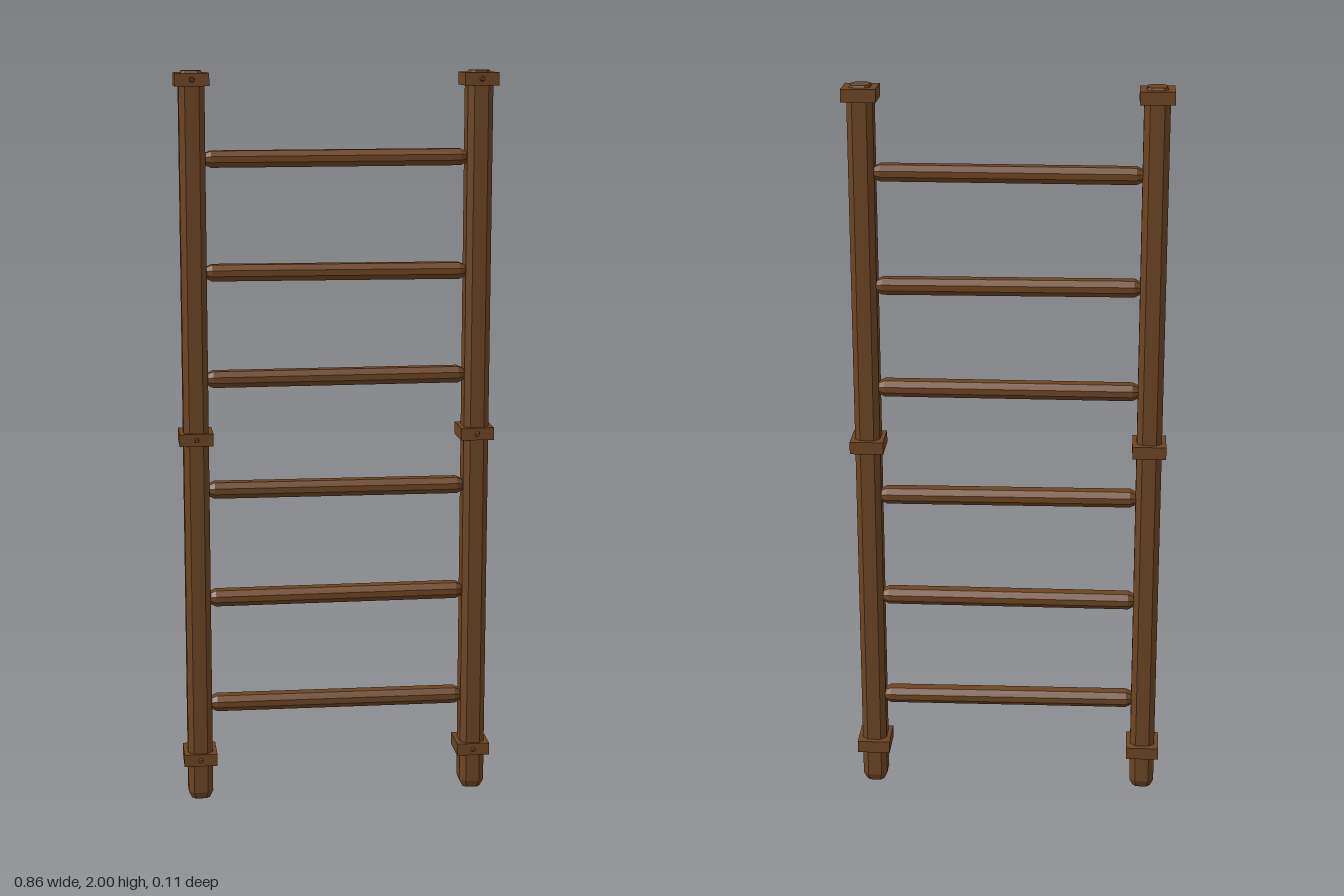
import * as THREE from 'three';

const wood = new THREE.MeshStandardMaterial({ color: 0x6b4423 });
wood.name = 'brown wood';

// Beam along z, centred, with chamfered long edges and tapered ends
function beamGeometry(w, h, length, chamfer, taper, endInset) {
  const x = w / 2 - endInset, y = h / 2 - endInset, c = chamfer;
  const outline = [
    [x - c, -y], [x, c - y], [x, y - c], [x - c, y],
    [c - x, y], [-x, y - c], [-x, c - y], [c - x, -y],
  ].map(([a, b]) => new THREE.Vector2(a, b));
  const geometry = new THREE.ExtrudeGeometry(new THREE.Shape(outline), {
    depth: length - 2 * taper,
    bevelEnabled: true,
    bevelSegments: 1,
    bevelThickness: taper,
    bevelSize: endInset,
  });
  geometry.translate(0, 0, taper - length / 2);
  return geometry;
}

function addPart(parent, name, geometry, x, y, z) {
  const mesh = new THREE.Mesh(geometry, wood);
  mesh.name = name;
  mesh.position.set(x, y, z);
  parent.add(mesh);
  return mesh;
}

export function createModel() {
  const ladder = new THREE.Group();
  ladder.name = 'ladder';

  const postGeometry = beamGeometry(0.068, 0.08, 2, 0.01, 0.02, 0.009).rotateX(-Math.PI / 2);
  const rungGeometry = beamGeometry(0.058, 0.044, 0.7, 0.01, 0.016, 0.007).rotateY(Math.PI / 2);
  const collarGeometry = new THREE.BoxGeometry(0.091, 0.034, 0.103);
  const studGeometry = new THREE.CylinderGeometry(0.005, 0.008, 0.014, 8).rotateX(Math.PI / 2);

  // Side posts, each with three collars and a front stud on every collar
  for (const [side, sign] of [['left', 1], ['right', -1]]) {
    const x = sign * 0.383;
    addPart(ladder, side + 'Post', postGeometry, x, 1, -0.002);
    for (const y of [0.117, 1.022, 1.977]) {
      addPart(ladder, side + 'Collar', collarGeometry, x, y, -0.006);
      addPart(ladder, side + 'Stud', studGeometry, x, y, 0.048);
    }
  }

  // Rungs, set at slightly uneven heights and angles
  [0.267, 0.571, 0.873, 1.181, 1.467, 1.77].forEach((y, i) => {
    const rung = addPart(ladder, 'rung', rungGeometry, 0, y, -0.007);
    rung.rotation.z = (i % 2 ? 1 : -1) * 0.003;
  });

  return ladder;
}
